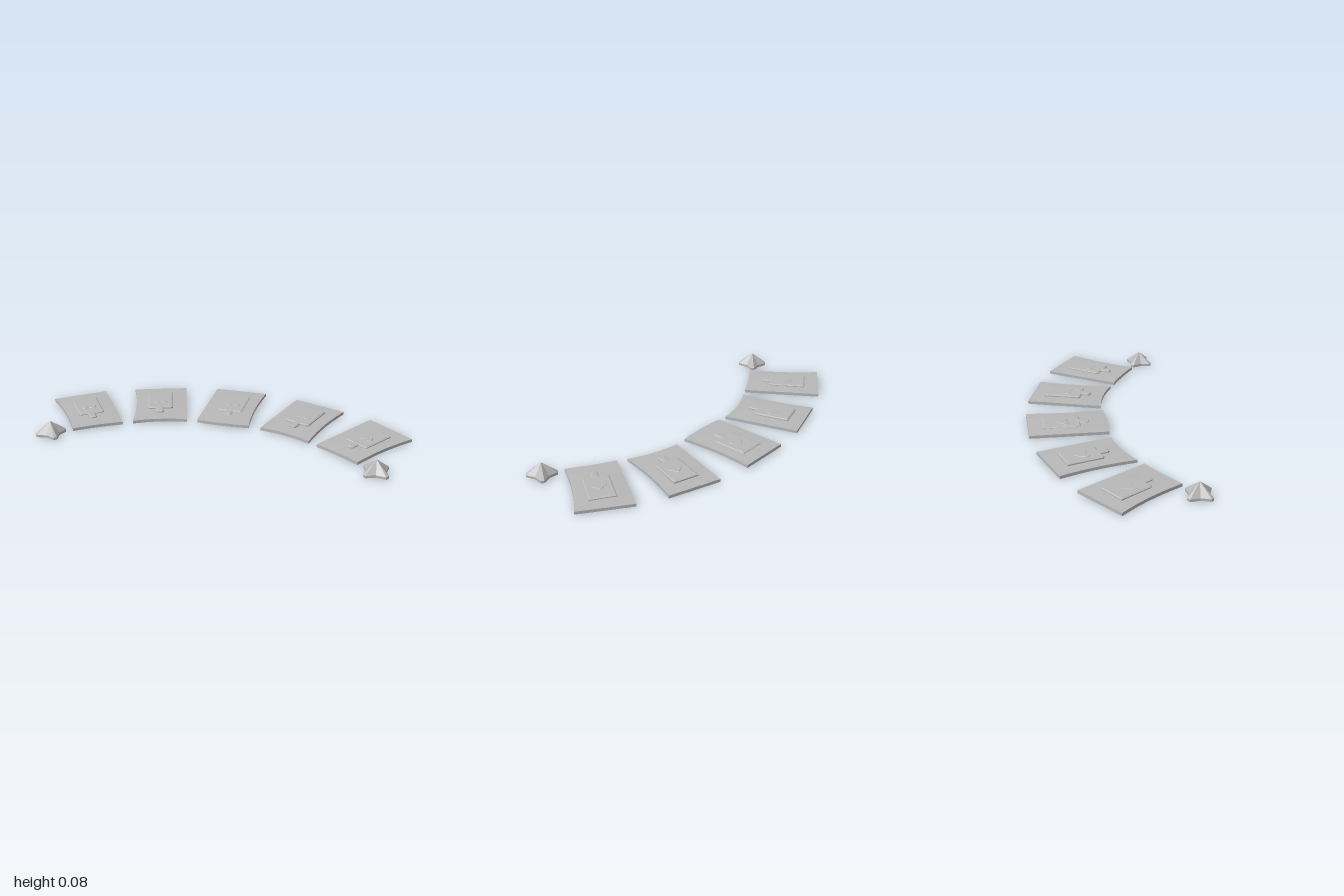
import * as THREE from 'three';

const stone = new THREE.MeshStandardMaterial({ color: 0xb8b8b8 });
stone.name = 'plainGrey';

const faceted = (g) => {
  const out = g.index ? g.toNonIndexed() : g;
  out.computeVertexNormals();
  return out;
};

function mesh(geometry, name) {
  const m = new THREE.Mesh(geometry, stone);
  m.name = name;
  return m;
}

// Thin slab between four corners [x, z] (back left, back right, front right, front left)
function slab(c, y0, outer, frontBow) {
  const g = new THREE.BoxGeometry(1, 1, 1, 10, 1, 10);
  const p = g.attributes.position;
  for (let i = 0; i < p.count; i++) {
    const u0 = p.getX(i), v0 = p.getZ(i), top = p.getY(i) > 0;
    const fu = 1 - 4 * u0 * u0, fv = 1 - 4 * v0 * v0;
    // hollow out the outer side and the front edge
    const u = u0 - outer * 0.05 * fv * (outer * u0 + 0.5);
    const v = v0 - frontBow * fu * (v0 + 0.5);
    const a = u + 0.5, b = v + 0.5;
    const at = (k) => (c[0][k] * (1 - a) + c[1][k] * a) * (1 - b) + (c[3][k] * (1 - a) + c[2][k] * a) * b;
    p.setXYZ(i, at(0), top ? y0 + 0.016 + 0.005 * fu * fv : y0, at(1));
  }
  g.computeVertexNormals();
  return g;
}

// Raised emblem from a shape in x and z, with sloping sides
function relief(shape, bottom, top, slope) {
  const g = new THREE.ExtrudeGeometry(shape, {
    depth: top - bottom - 0.004, bevelEnabled: true, bevelThickness: 0.004,
    bevelSize: slope, bevelOffset: -slope, bevelSegments: 1, curveSegments: 6,
  });
  g.rotateX(-Math.PI / 2);
  g.translate(0, bottom, 0);
  return g;
}

// Panel with a short neck at its front end (shape y runs towards the back)
const panel = new THREE.Shape([
  [-0.07, 0.13], [0.07, 0.13], [0.07, -0.06], [0.06, -0.07], [0.02, -0.07], [0.02, -0.11], [0.012, -0.12],
  [-0.012, -0.12], [-0.02, -0.11], [-0.02, -0.07], [-0.06, -0.07], [-0.07, -0.06],
].map(([x, y]) => new THREE.Vector2(x, y)));

// Heart with its point towards the back
const heart = new THREE.Shape();
heart.moveTo(0, 0.065);
heart.lineTo(-0.038, 0.025);
heart.bezierCurveTo(-0.05, 0.005, -0.035, -0.014, -0.016, -0.01);
heart.lineTo(0, 0.003);
heart.lineTo(0.016, -0.01);
heart.bezierCurveTo(0.035, -0.014, 0.05, 0.005, 0.038, 0.025);
heart.closePath();

function card(name, corners, y0, angle, outer, frontBow) {
  const group = new THREE.Group();
  group.name = name;
  group.add(mesh(slab(corners, y0, outer, frontBow), 'cardSlab'));
  const emblem = new THREE.Group();
  emblem.name = 'emblem';
  const mid = (k) => corners.reduce((s, c) => s + c[k], 0) / 4;
  emblem.position.set(mid(0), 0, mid(1));
  emblem.rotation.y = angle;
  emblem.add(mesh(relief(panel, y0 + 0.012, 0.0315, 0.007), 'emblemPanel'));
  emblem.add(mesh(relief(heart, 0.027, 0.0335, 0.003), 'emblemHeart'));
  group.add(emblem);
  return group;
}

// Four-pointed pyramid with concave sides on a low upright rim
function star(x, z, turn) {
  const rows = [[1, 0.005], [1, 0.018], [0.001, 0.08]];
  const pos = [], idx = [], n = 12;
  const radii = [0.08, 0.05, 0.05];
  for (const [s, y] of rows) {
    for (let i = 0; i < n; i++) {
      // each point has a blunt tip of two corners and a waist between
      const k = Math.floor(i / 3), j = i % 3;
      const a = turn + (k + [-0.07, 0.07, 0.5][j]) * Math.PI / 2;
      const r = [radii[0], radii[0], radii[1]][j] * s;
      pos.push(Math.cos(a) * r, y, -Math.sin(a) * r);
    }
  }
  for (let r = 0; r < 2; r++) {
    for (let i = 0; i < n; i++) {
      const a = r * n + i, b = r * n + (i + 1) % n;
      idx.push(a, b, b + n, a, b + n, a + n);
    }
  }
  pos.push(0, 0.005, 0);
  for (let i = 0; i < n; i++) idx.push(rows.length * n, (i + 1) % n, i);
  const g = new THREE.BufferGeometry();
  g.setAttribute('position', new THREE.Float32BufferAttribute(pos, 3));
  g.setIndex(idx);
  const m = mesh(faceted(g), 'starStud');
  m.position.set(x, 0, z);
  return m;
}

export function createModel() {
  const model = new THREE.Group();
  model.name = 'cardFan';
  model.add(card('middleCard', [[-0.145, -0.405], [0.14, -0.405], [0.14, 0.017], [-0.145, 0.017]], 0.007, 0, 1, -0.02));

  // Mirrored cards and studs on both sides
  const inner = [[0.325, -0.38], [0.603, -0.288], [0.48, 0.11], [0.203, 0.017]];
  const outerCard = [[0.757, -0.22], [0.997, -0.045], [0.757, 0.28], [0.527, 0.137]];
  for (const s of [1, -1]) {
    const side = s > 0 ? 'left' : 'right';
    const flip = ([a, b, c, d]) => (s > 0 ? [a, b, c, d] : [b, a, d, c].map(([x, z]) => [-x, z]));
    model.add(card(side + 'InnerCard', flip(inner), 0.002, -s * 0.3, s, 0.04));
    model.add(card(side + 'OuterCard', flip(outerCard), 0.004, -s * 0.58, s, 0.015));
    model.add(star(s * 0.856, 0.339, Math.PI / 4 + s * 0.1));
  }
  return model;
}
